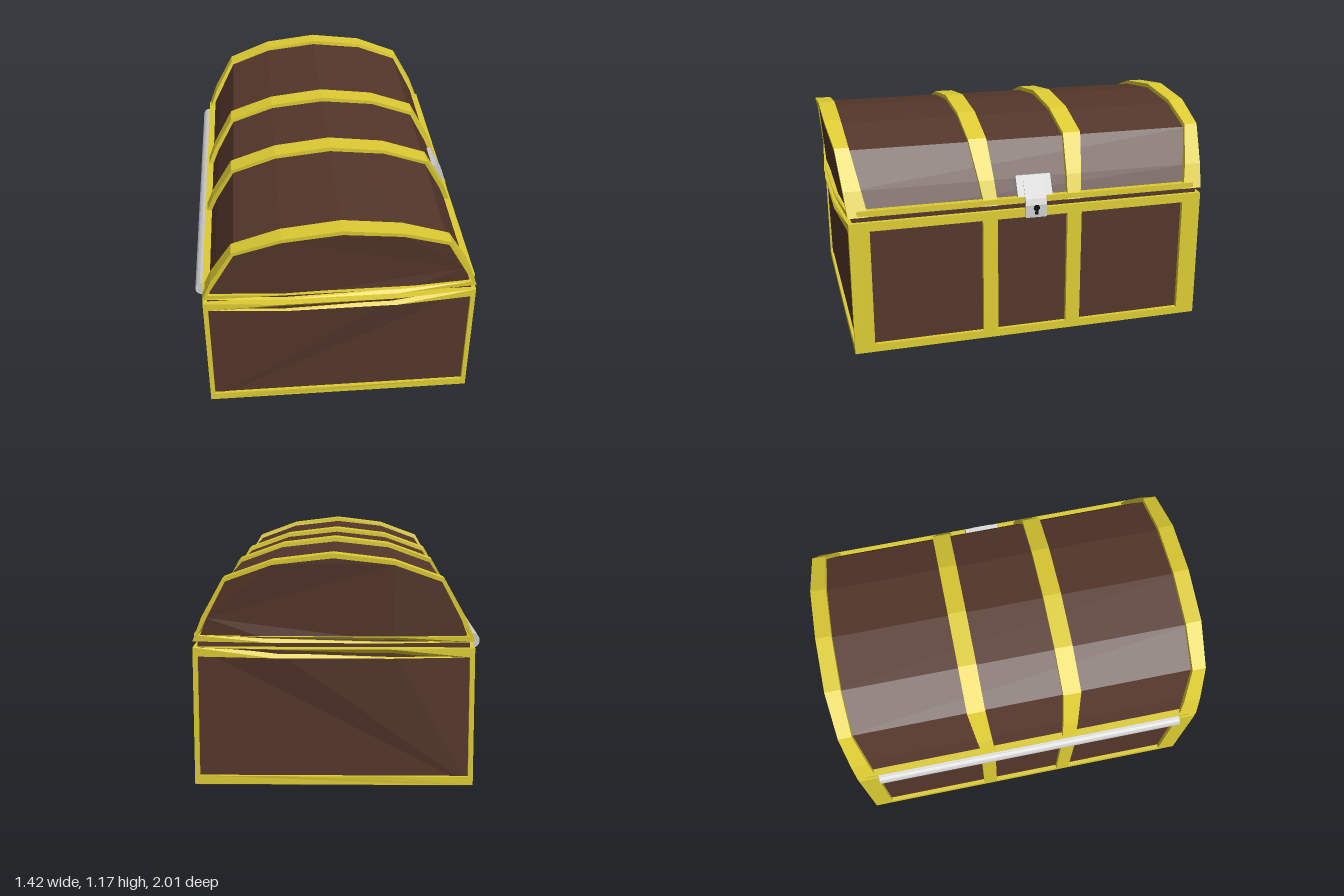
import * as THREE from 'three';

const material = (color) => new THREE.MeshStandardMaterial({ color, flatShading: true, side: THREE.DoubleSide });
const wood = material(0x54362a), gold = material(0xdccb32);
const steel = material(0xcccccc), dark = material(0x0c0c0c);
const { lerp, clamp } = THREE.MathUtils;

const COLUMNS = [0.288, 0, -0.288];
const mirrorX = (half) => [...half, ...half.slice(0, -1).reverse().map(([x, y]) => [-x, y])];

// half profiles of the lid, from the front edge up to the ridge
const lidOuter = mirrorX([[0.682, 0.735], [0.633, 0.857], [0.523, 1.05], [0.288, 1.135], [0, 1.17]]);
const lidInner = mirrorX([[0.655, 0.74], [0.61, 0.85], [0.512, 1.033], [0.287, 1.115], [0, 1.147]]);

// closed arch: profile plus a bottom edge at height y, split at the bow columns
const closeArch = (arch, y) => [[arch[0][0], y], ...arch.slice(1, -1), [arch.at(-1)[0], y],
  ...COLUMNS.map((x) => [-x, y])];
const rect = (w, y0, y1) => [[w, y0], [w, y1], ...COLUMNS.map((x) => [x, y1]), [-w, y1], [-w, y0],
  ...COLUMNS.map((x) => [-x, y0])];

// how far the chest ends bulge outwards
const bow = (x) => clamp((0.69 - Math.abs(x)) / 0.4, 0, 1);
const lidEnd = (x, y) => 0.945 + 0.03 * bow(x) + 0.03 * clamp((y - 0.735) / 0.435, 0, 1);
const baseEnd = (x, y) => 0.945 + 0.035 * bow(x) * y / 0.7;
const taper = (y) => lerp(1, 0.986, y / 0.7);

const toPoints = (list) => list.map(([x, y]) => new THREE.Vector2(x, y));

function mesh(geometry, mat, name, parent) {
  const m = new THREE.Mesh(geometry, mat);
  m.name = name;
  parent.add(m);
  return m;
}

// extrude an outline and place its two caps at z given by back(x, y) and front(x, y)
function prism(outline, hole, back, front, narrow = false) {
  const shape = new THREE.Shape(toPoints(outline));
  if (hole) shape.holes.push(new THREE.Path(toPoints(hole)));
  const geo = new THREE.ExtrudeGeometry(shape, { depth: 1, bevelEnabled: false });
  const p = geo.attributes.position;
  for (let i = 0; i < p.count; i++) {
    const x = p.getX(i), y = p.getY(i);
    p.setZ(i, p.getZ(i) > 0.5 ? front(x, y) : back(x, y));
    if (narrow) p.setX(i, x * taper(y));
  }
  geo.computeVertexNormals();
  return geo;
}

// place the same prism at the front (+z) and, mirrored, at the back (-z)
function bothEnds(outline, hole, inner, outer, narrow, name, parent) {
  mesh(prism(outline, hole, inner, outer, narrow), gold, name, parent);
  mesh(prism(outline, hole, (x, y) => -outer(x, y), (x, y) => -inner(x, y), narrow), gold, name, parent);
}

function box(x0, x1, y0, y1, z0, z1) {
  return new THREE.BoxGeometry(x1 - x0, y1 - y0, z1 - z0)
    .translate((x0 + x1) / 2, (y0 + y1) / 2, (z0 + z1) / 2);
}

// box whose sides follow the taper of the chest body
function bodyBar(...bounds) {
  const geo = box(...bounds), p = geo.attributes.position;
  for (let i = 0; i < p.count; i++) p.setX(i, p.getX(i) * taper(p.getY(i)));
  geo.computeVertexNormals();
  return geo;
}

function buildBase() {
  const base = new THREE.Group();
  base.name = 'base';
  const end = (x, y) => baseEnd(x, y) - 0.014;
  mesh(prism(rect(0.671, 0.003, 0.7), null, (x, y) => -end(x, y), end, true), wood, 'baseBody', base);
  mesh(box(-0.685, 0.685, 0, 0.005, -0.94, 0.94), wood, 'bottomBoard', base);
  mesh(box(-0.66, 0.66, 0.69, 0.75, -0.925, 0.925), wood, 'innerLip', base);

  // end frames with the corner posts
  bothEnds(rect(0.6925, 0.004, 0.705), rect(0.668, 0.048, 0.66), () => 0.842, baseEnd, true, 'baseEndFrame', base);

  // long bands and straps on the sides
  for (const s of [-1, 1]) {
    const [a, b] = s > 0 ? [0.65, 0.6925] : [-0.6925, -0.65];
    mesh(bodyBar(a, b, 0.004, 0.045, -0.842, 0.842), gold, 'bottomBand', base);
    mesh(bodyBar(a, b, 0.66, 0.705, -0.842, 0.842), gold, 'topBand', base);
    for (const z of [-0.227, 0.227]) {
      mesh(bodyBar(a, b, 0.045, 0.66, z - 0.039, z + 0.039), gold, 'sideStrap', base);
    }
  }
  return base;
}

function buildLid() {
  const lid = new THREE.Group();
  lid.name = 'lid';
  const end = (x, y) => lidEnd(x, y) - 0.014;
  mesh(prism(closeArch(lidInner, 0.74), null, (x, y) => -end(x, y), end), wood, 'lidBody', lid);

  // end frames, widening towards the ridge
  const rise = (y) => clamp((y - 0.735) / 0.32, 0, 1);
  bothEnds(closeArch(lidOuter, 0.735), closeArch(lidInner, 0.765),
    (x, y) => 0.845 + 0.063 * rise(y) + 0.012 * clamp((y - 1.05) / 0.1, 0, 1),
    lidEnd, false, 'lidEndFrame', lid);

  // middle ribs
  bothEnds([...lidOuter, ...lidInner.slice().reverse()], null,
    (x, y) => 0.187 + 0.021 * rise(y), (x, y) => 0.257 + 0.048 * rise(y), false, 'lidRib', lid);

  // rim along the long sides
  for (const s of [-1, 1]) {
    const [a, b] = s > 0 ? [0.63, 0.68] : [-0.68, -0.63];
    mesh(box(a, b, 0.735, 0.765, -0.9, 0.9), gold, 'lidRim', lid);
  }
  return lid;
}

function buildLock() {
  const lock = new THREE.Group();
  lock.name = 'lock';
  const z = -0.013;
  const strip = (points, half) => prism(points, null, () => z - half, () => z + half);
  mesh(strip([[0.6, 0.862], [0.626, 0.868], [0.676, 0.768], [0.64, 0.764]], 0.093), steel, 'lockPlate', lock);
  mesh(strip([[0.615, 0.838], [0.64, 0.845], [0.687, 0.755], [0.698, 0.725], [0.7, 0.66],
    [0.682, 0.66], [0.672, 0.74]], 0.056), steel, 'hasp', lock);

  // keyhole: round top over a narrow slot
  const hole = new THREE.Shape();
  hole.absarc(0, 0, 0.017, -1.1, Math.PI + 1.1, false);
  hole.lineTo(-0.01, -0.036);
  hole.lineTo(0.01, -0.036);
  const key = mesh(new THREE.ShapeGeometry(hole, 8), dark, 'keyhole', lock);
  key.rotation.y = Math.PI / 2;
  key.position.set(0.702, 0.711, z);
  return lock;
}

export function createModel() {
  const chest = new THREE.Group();
  chest.name = 'chest';
  const parts = new THREE.Group();
  parts.name = 'chestParts';
  parts.position.x = 0.006;
  parts.add(buildBase(), buildLid(), buildLock());

  // hinge rod along the rear edge
  const hinge = mesh(new THREE.CylinderGeometry(0.04, 0.04, 1.675, 16), steel, 'hinge', parts);
  hinge.rotation.x = Math.PI / 2;
  hinge.position.set(-0.68, 0.718, 0.007);

  chest.add(parts);
  return chest;
}
